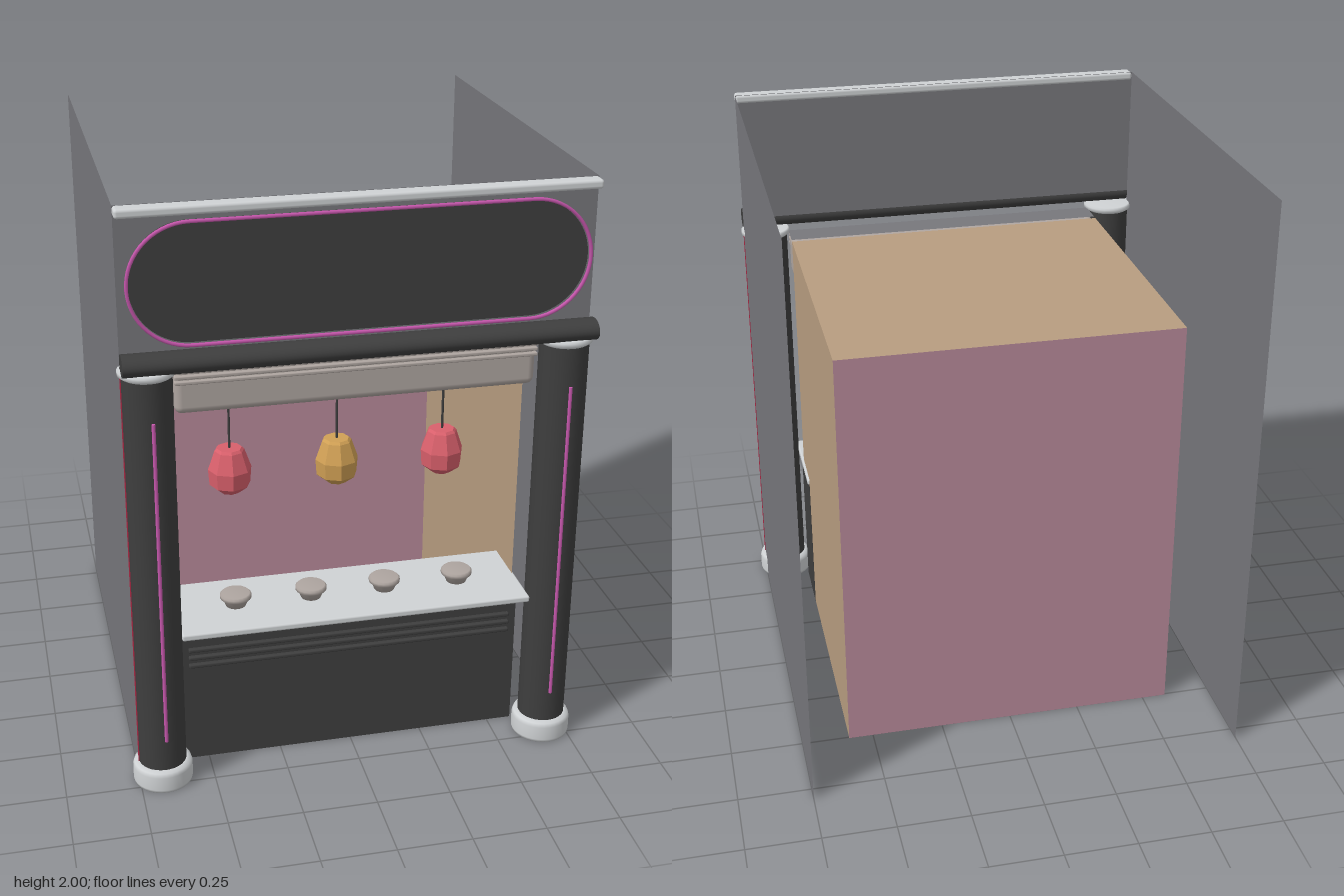
import * as THREE from 'three';
import { RoundedBoxGeometry } from 'three/addons/geometries/RoundedBoxGeometry.js';

const mat = (name, color, extra = {}) => {
  const m = new THREE.MeshStandardMaterial({ color, ...extra });
  m.name = name;
  return m;
};

export function createModel() {
  const group = new THREE.Group();
  group.name = 'foodStall';
  const two = { side: THREE.DoubleSide };
  const grey = mat('wall grey', 0x77777c, two);
  const black = mat('charcoal', 0x3e3e3e);
  const light = mat('pale metal', 0xcfd2d4);
  const neon = mat('neon pink', 0xc858ae);
  const rose = mat('rose wall', 0xb98a9b, two);
  const tan = mat('tan panel', 0xb89d80, two);
  const warm = mat('warm grey', 0xaea5a0, two);
  const red = mat('lantern red', 0xd9606c, { flatShading: true });
  const amber = mat('lantern amber', 0xd0a055, { flatShading: true });
  const crimson = mat('crimson trim', 0xb02c48);

  const add = (name, geo, m, x = 0, y = 0, z = 0) => {
    const mesh = new THREE.Mesh(geo, m);
    mesh.name = name;
    mesh.position.set(x, y, z);
    group.add(mesh);
    return mesh;
  };
  // Box given by its limits on each axis, optionally rounded
  const box = (name, m, [x0, x1], [y0, y1], [z0, z1], r = 0) => {
    const s = [x1 - x0, y1 - y0, z1 - z0];
    const geo = r ? new RoundedBoxGeometry(...s, 3, r) : new THREE.BoxGeometry(...s);
    return add(name, geo, m, (x0 + x1) / 2, (y0 + y1) / 2, (z0 + z1) / 2);
  };
  const plane = (name, m, w, h, x, y, z, rx = 0, ry = 0) =>
    add(name, new THREE.PlaneGeometry(w, h), m, x, y, z).rotation.set(rx, ry, 0);
  const lathe = (pts, n) => new THREE.LatheGeometry(pts.map(p => new THREE.Vector2(...p)), n);

  // Outer shell: two side walls and the fascia
  for (const s of [-1, 1]) plane('sideWall', grey, 1.5, 2, s * 0.75, 1, -0.05, 0, s * Math.PI / 2);
  plane('fascia', grey, 1.5, 0.47, 0, 1.765, 0.7);
  box('topTrim', light, [-0.75, 0.75], [1.97, 2], [0.695, 0.748], 0.01);

  // Inner room, open at the front
  const H = 1.473, zBack = -0.505, zFront = 0.57, depth = zFront - zBack, zMid = (zBack + zFront) / 2;
  plane('roomBack', rose, 1.17, H, 0, H / 2, zBack);
  plane('roomCeiling', tan, 1.17, depth, 0, H, zMid, -Math.PI / 2);
  plane('roomFloor', warm, 1.17, depth, 0, 0.003, zMid, -Math.PI / 2);
  for (const s of [-1, 1]) plane('roomSide', tan, depth, H, s * 0.585, H / 2, zMid, 0, s * Math.PI / 2);

  // Sign board with a neon outline
  const cy = 1.758, half = 0.53;
  const pill = r => {
    const s = new THREE.Shape();
    s.absarc(half, 0, r, -Math.PI / 2, Math.PI / 2);
    s.absarc(-half, 0, r, Math.PI / 2, Math.PI * 1.5);
    s.closePath();
    return s;
  };
  add('signBoard', new THREE.ExtrudeGeometry(pill(0.187), { depth: 0.029, bevelEnabled: false, curveSegments: 24 }),
    black, 0, cy, 0.701);
  const outline = new THREE.CatmullRomCurve3(
    pill(0.193).getSpacedPoints(120).slice(0, -1).map(p => new THREE.Vector3(p.x, p.y, 0)), true);
  add('signNeon', new THREE.TubeGeometry(outline, 160, 0.006, 6, true), neon, 0, cy, 0.742);

  // Dark roll below the sign
  const roll = new THREE.CylinderGeometry(1, 1, 1.5, 24);
  roll.rotateZ(Math.PI / 2).scale(1, 0.034, 0.049);
  add('awningRoll', roll, black, 0, 1.517, 0.746);

  // Columns with base, capital, neon tube and edge trim
  for (const s of [-1, 1]) {
    const x = s * 0.67, z = 0.7;
    add('column', new THREE.CylinderGeometry(0.08, 0.08, 1.46, 32), black, x, 0.74, z);
    add('columnBase', lathe([[0, 0], [0.098, 0], [0.1, 0.01], [0.1, 0.058], [0.095, 0.072], [0.08, 0.078], [0, 0.078]], 32),
      light, x, 0, z);
    add('columnCapital', lathe([[0, 1.465], [0.08, 1.465], [0.09, 1.472], [0.09, 1.484], [0.084, 1.49], [0, 1.49]], 32),
      light, x, 0, z);
    add('columnNeon', new THREE.CylinderGeometry(0.006, 0.006, 1.14, 8), neon, s * 0.665, 0.77, 0.794);
    box('edgeTrim', crimson, [s * 0.75 - 0.002, s * 0.75 + 0.002], [0.07, 1.465], [0.701, 0.711]);
  }

  // Valance over the opening, with ribs
  box('valance', warm, [-0.585, 0.583], [1.315, 1.468], [0.575, 0.69], 0.025);
  plane('soffit', grey, 1.17, 0.105, 0, 1.474, 0.637, -Math.PI / 2);
  for (const y of [1.425, 1.443, 1.461]) box('valanceRib', warm, [-0.585, 0.583], [y - 0.006, y + 0.006], [0.68, 0.702], 0.004);

  // Serving counter
  box('counterBody', black, [-0.586, 0.586], [0, 0.535], [0.4, 0.62]);
  box('counterTop', light, [-0.593, 0.593], [0.533, 0.556], [0.395, 0.735], 0.007);
  for (const y of [0.37, 0.4, 0.43]) box('counterRib', black, [-0.56, 0.56], [y - 0.007, y + 0.007], [0.612, 0.634], 0.005);

  // Bowls on the counter
  const bowl = lathe([[0, 0], [0.034, 0], [0.045, 0.026], [0.053, 0.03], [0.053, 0.04], [0.047, 0.046], [0, 0.046]], 20);
  for (const x of [-0.388, -0.13, 0.126, 0.382]) add('bowl', bowl, warm, x, 0.556, 0.57);

  // Hanging lanterns
  const lantern = lathe([[0, 0], [0.032, 0.004], [0.066, 0.032], [0.07, 0.085], [0.048, 0.148], [0.04, 0.156], [0, 0.156]], 8);
  [[-0.412, red], [-0.063, amber], [0.288, red]].forEach(([x, m]) => {
    add('lantern', lantern, m, x, 1.018, 0.65);
    add('lanternCord', new THREE.CylinderGeometry(0.004, 0.004, 0.16, 6), black, x, 1.25, 0.65);
  });

  return group;
}
